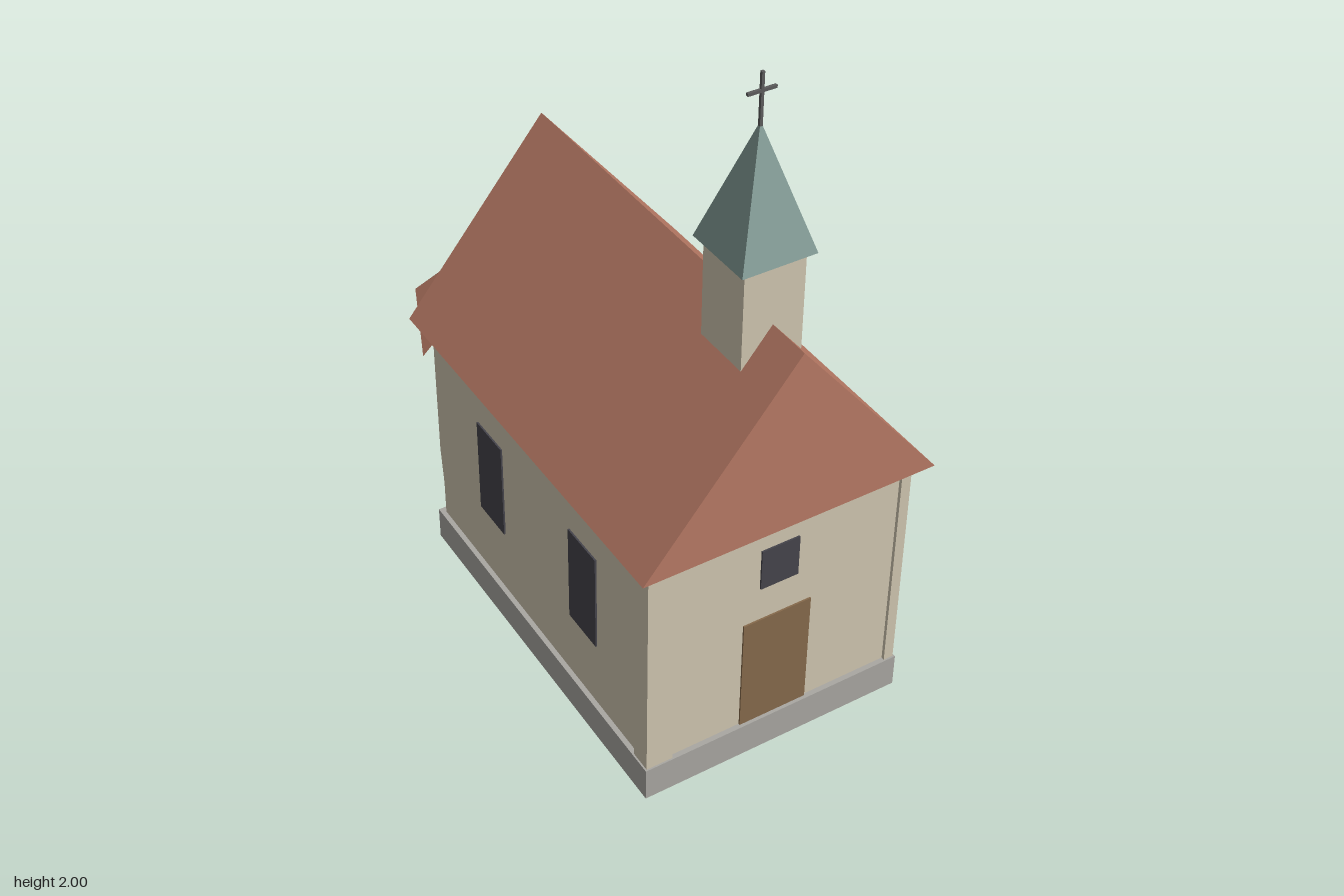
import * as THREE from 'three';

function mat(name, color, side = THREE.FrontSide) {
  const m = new THREE.MeshStandardMaterial({ color, side, flatShading: true });
  m.name = name;
  return m;
}

export function createModel() {
  const group = new THREE.Group();
  group.name = 'chapel';
  const plaster = mat('plaster', 0xd0c6b0, THREE.DoubleSide);
  const tile = mat('roofTile', 0xb87a65, THREE.DoubleSide);
  const stone = mat('stone', 0xa9a7a2);
  const copper = mat('copper', 0x829b95);
  const wood = mat('wood', 0x866a4b);
  const glass = mat('glass', 0x45444b);
  const iron = mat('iron', 0x5c5c5c);

  function add(name, geometry, material, x = 0, y = 0, z = 0) {
    const mesh = new THREE.Mesh(geometry, material);
    mesh.name = name;
    mesh.position.set(x, y, z);
    group.add(mesh);
    return mesh;
  }
  // Box given by its extents along each axis
  function box(name, material, [x0, x1], [y0, y1], [z0, z1]) {
    return add(name, new THREE.BoxGeometry(x1 - x0, y1 - y0, z1 - z0), material,
      (x0 + x1) / 2, (y0 + y1) / 2, (z0 + z1) / 2);
  }

  // Nave: plinth, walls, cornice and front corner pilasters
  box('plinth', stone, [-0.405, 0.405], [0, 0.105], [-0.41, 0.785]);
  box('naveWalls', plaster, [-0.39, 0.39], [0.105, 0.78], [-0.39, 0.77]);
  box('cornice', plaster, [-0.41, 0.41], [0.78, 0.81], [-0.415, 0.79]);
  box('pilasterRight', plaster, [-0.4, -0.32], [0.105, 0.78], [0.715, 0.78]);
  box('pilasterLeft', plaster, [0.37, 0.4], [0.105, 0.78], [0.715, 0.78]);

  // Gabled roof
  const gable = new THREE.Shape([
    new THREE.Vector2(-0.44, 0.811), new THREE.Vector2(0.44, 0.811), new THREE.Vector2(0, 1.35),
  ]);
  add('naveRoof', new THREE.ExtrudeGeometry(gable, { depth: 1.265, bevelEnabled: false }),
    tile, 0, 0, -0.445);

  // Apse: half an octagon with a half-pyramid roof, open underneath
  add('apseWalls', new THREE.CylinderGeometry(0.385, 0.385, 0.605, 4, 1, true, Math.PI / 2, Math.PI),
    plaster, 0, 0.4075, -0.39);
  add('apseRoof', new THREE.ConeGeometry(0.43, 0.4, 4, 1, true, Math.PI / 2, Math.PI),
    tile, 0, 0.91, -0.39);

  // Door and windows
  box('door', wood, [-0.105, 0.105], [0.105, 0.47], [0.767, 0.775]);
  box('frontWindow', glass, [-0.058, 0.058], [0.58, 0.71], [0.767, 0.775]);
  for (const side of [-1, 1]) {
    for (const z of [0.44, -0.07]) {
      add('sideWindow', new THREE.BoxGeometry(0.008, 0.31, 0.14), glass, side * 0.391, 0.475, z);
    }
  }

  // Bell tower, spire and cross
  box('tower', plaster, [-0.088, 0.088], [1.24, 1.53], [0.512, 0.688]);
  const spire = new THREE.ConeGeometry(0.107 * Math.SQRT2, 0.34, 4);
  add('spire', spire.rotateY(Math.PI / 4), copper, 0, 1.7, 0.6);
  box('crossPost', iron, [-0.004, 0.004], [1.855, 2], [0.596, 0.604]);
  box('crossBar', iron, [-0.04, 0.04], [1.946, 1.954], [0.596, 0.604]);

  return group;
}
